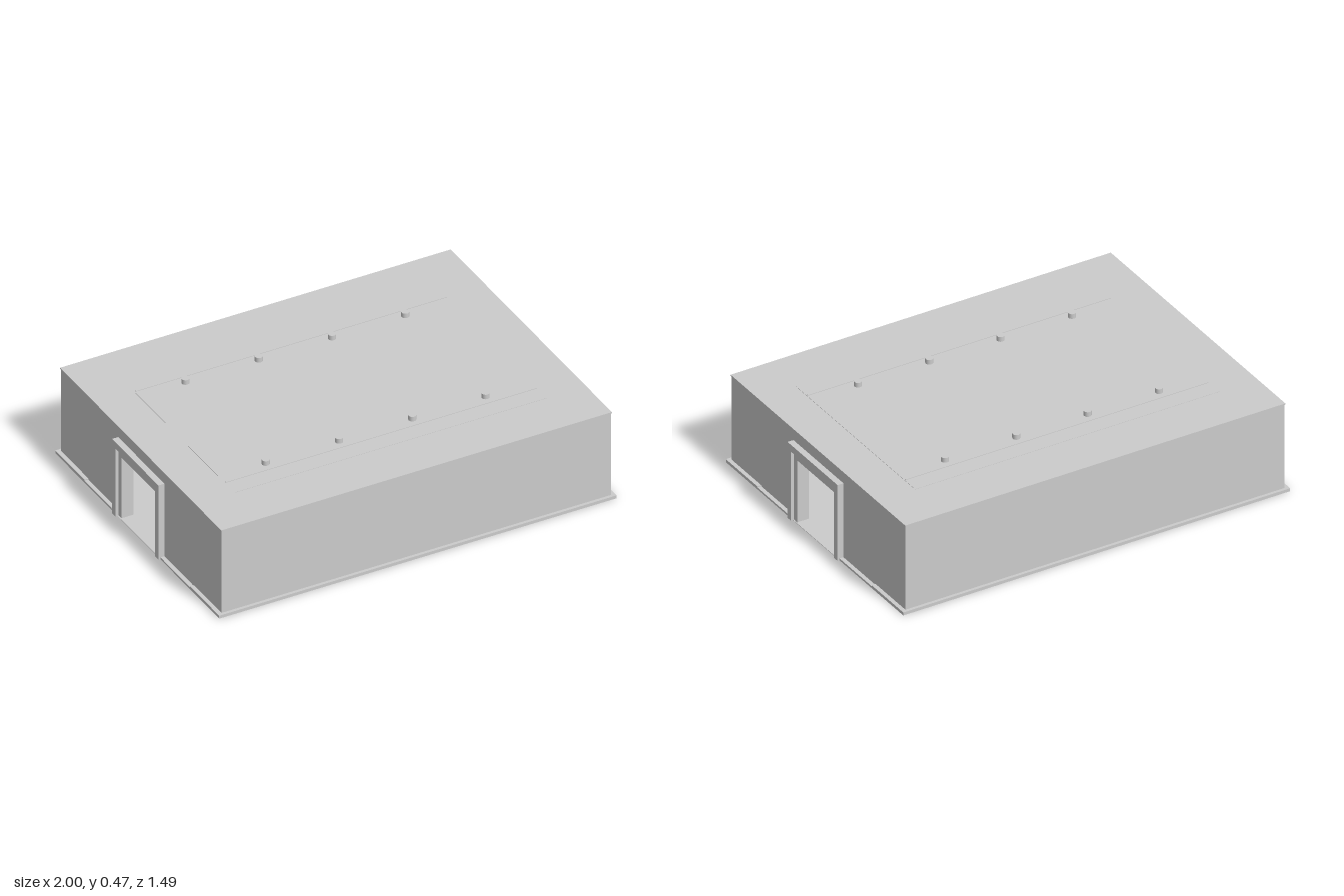
import * as THREE from 'three';

const mat = new THREE.MeshStandardMaterial({ color: 0xcccccc, side: THREE.DoubleSide });

export function createModel() {
  const model = new THREE.Group();
  model.name = 'hall';

  const add = (name, geometry) => {
    const mesh = new THREE.Mesh(geometry, mat);
    mesh.name = name;
    model.add(mesh);
    return mesh;
  };
  // box given by its limits on each axis
  const box = (name, x0, x1, y0, y1, z0, z1) =>
    add(name, new THREE.BoxGeometry(x1 - x0, y1 - y0, z1 - z0))
      .position.set((x0 + x1) / 2, (y0 + y1) / 2, (z0 + z1) / 2);

  // upside-down U outline standing on the ground, drawn in (z, y)
  const portal = (outerHalf, outerTop, innerHalf, innerTop, depth) => {
    const shape = new THREE.Shape([
      [-outerHalf, 0], [-innerHalf, 0], [-innerHalf, innerTop], [innerHalf, innerTop],
      [innerHalf, 0], [outerHalf, 0], [outerHalf, outerTop], [-outerHalf, outerTop],
    ].map(([a, b]) => new THREE.Vector2(a, b)));
    const g = new THREE.ExtrudeGeometry(shape, { depth, bevelEnabled: false });
    return g.rotateY(Math.PI / 2); // depth now runs along +x
  };

  const W = 0.97, D = 0.73, H = 0.45, T = 0.04;

  // floor and roof
  box('floor', -0.99, 0.99, 0, 0.002, -0.745, 0.745);
  box('roof', -W - 0.003, W + 0.003, H - 0.006, H, -D - 0.003, D + 0.003);
  box('roofPanel', -0.78, 0.78, H - 0.02, H + 0.0015, -0.5, 0.5);

  for (const s of [-1, 1]) {
    // long walls with their plinths
    box('longWall', -W, W, 0, H, s * D - (s > 0 ? T : 0), s * D + (s > 0 ? 0 : T));
    box('longPlinth', -0.99, 0.99, 0, 0.015, s > 0 ? D : -0.745, s > 0 ? 0.745 : -D);

    // end walls with a doorway, and stepped door surrounds
    const endWall = add('endWall', portal(D - 0.001, H - 0.001, 0.155, 0.32, T));
    endWall.position.x = s > 0 ? W - T : -W;
    const outerFrame = add('outerDoorFrame', portal(0.21, 0.39, 0.18, 0.355, 0.03));
    outerFrame.position.x = s > 0 ? W : -1;
    const innerFrame = add('innerDoorFrame', portal(0.18, 0.355, 0.153, 0.32, 0.06));
    innerFrame.position.x = s > 0 ? 0.925 : -0.985;

    // end plinths, lower beside the doorway
    const [x0, x1] = s > 0 ? [W, 0.99] : [-0.99, -W];
    for (const t of [-1, 1]) {
      box('endPlinth', x0, x1, 0, 0.015, t > 0 ? 0.48 : -D, t > 0 ? D : -0.48);
      box('doorSidePlinth', x0, x1, 0, 0.01, t > 0 ? 0.21 : -0.48, t > 0 ? 0.48 : -0.21);
    }

    // thin roof rails and the rods standing beside them
    box('roofRail', -0.775, 0.775, H - 0.02, H + 0.004, s * 0.41 - 0.004, s * 0.41 + 0.004);
    for (const x of [-0.55, -0.185, 0.18, 0.545]) {
      const rod = add('roofRod', new THREE.CylinderGeometry(0.018, 0.018, 0.06, 20));
      rod.position.set(x, 0.445, s * 0.365);
    }
  }

  // ceiling grid inside
  for (let i = -4; i <= 4; i++)
    box('crossBeam', i * 0.19 - 0.008, i * 0.19 + 0.008, 0.415, H - 0.01, -D + T, D - T);
  for (let i = -3; i <= 3; i++)
    box('longBeam', -W + T, W - T, 0.418, H - 0.01, i * 0.18 - 0.008, i * 0.18 + 0.008);

  return model;
}
